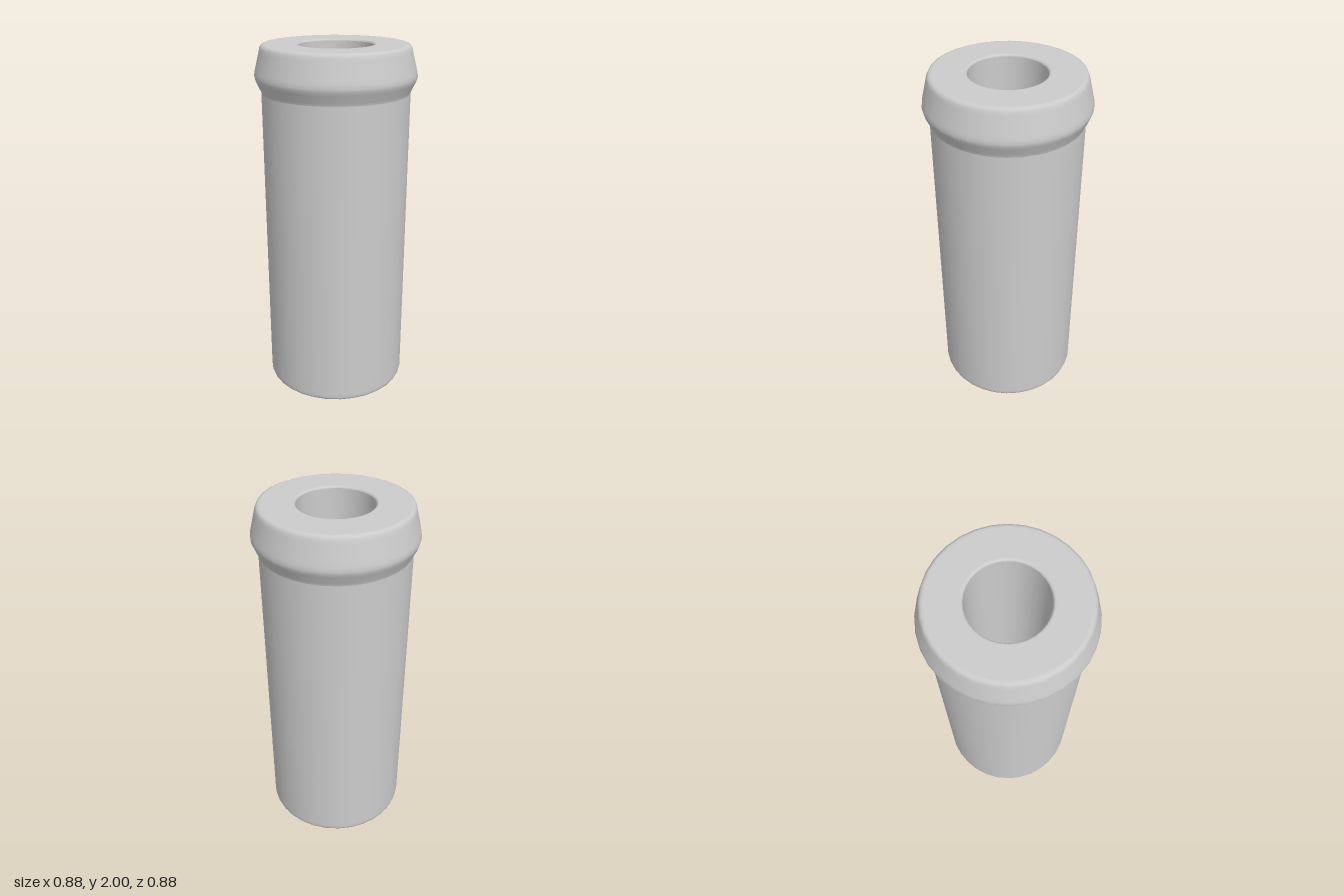
import * as THREE from 'three';

const SIDES = 32;

// Revolves a list of [radius, height] points around the y axis.
function revolve(name, points, material) {
  const profile = points.map(([r, y]) => new THREE.Vector2(r, y));
  const mesh = new THREE.Mesh(new THREE.LatheGeometry(profile, SIDES), material);
  mesh.name = name;
  return mesh;
}

export function createModel() {
  const group = new THREE.Group();
  group.name = 'collaredSleeve';
  const material = new THREE.MeshStandardMaterial({ color: 0xcccccc });

  // Solid base and straight outer wall with a small rounded foot
  group.add(revolve('body', [
    [0, 0], [0.385, 0], [0.393, 0.001], [0.403, 0.008], [0.407, 0.02],
    [0.407, 0.04], [0.407, 1.73], [0.407, 1.745],
  ], material));

  // Flared collar, tapering to a softly rounded top rim
  group.add(revolve('collar', [
    [0.407, 1.745], [0.411, 1.76], [0.432, 1.802], [0.439, 1.82],
    [0.442, 1.835], [0.439, 1.855], [0.434, 1.875], [0.412, 1.965],
    [0.408, 1.982], [0.401, 1.995], [0.39, 2], [0.38, 2],
    [0.22, 2], [0.214, 2], [0.208, 1.997], [0.205, 1.99],
  ], material));

  // Blind bore down the middle
  group.add(revolve('boreWall', [[0.205, 1.99], [0.205, 0.2]], material));
  group.add(revolve('boreFloor', [[0.205, 0.2], [0, 0.2]], material));

  return group;
}
